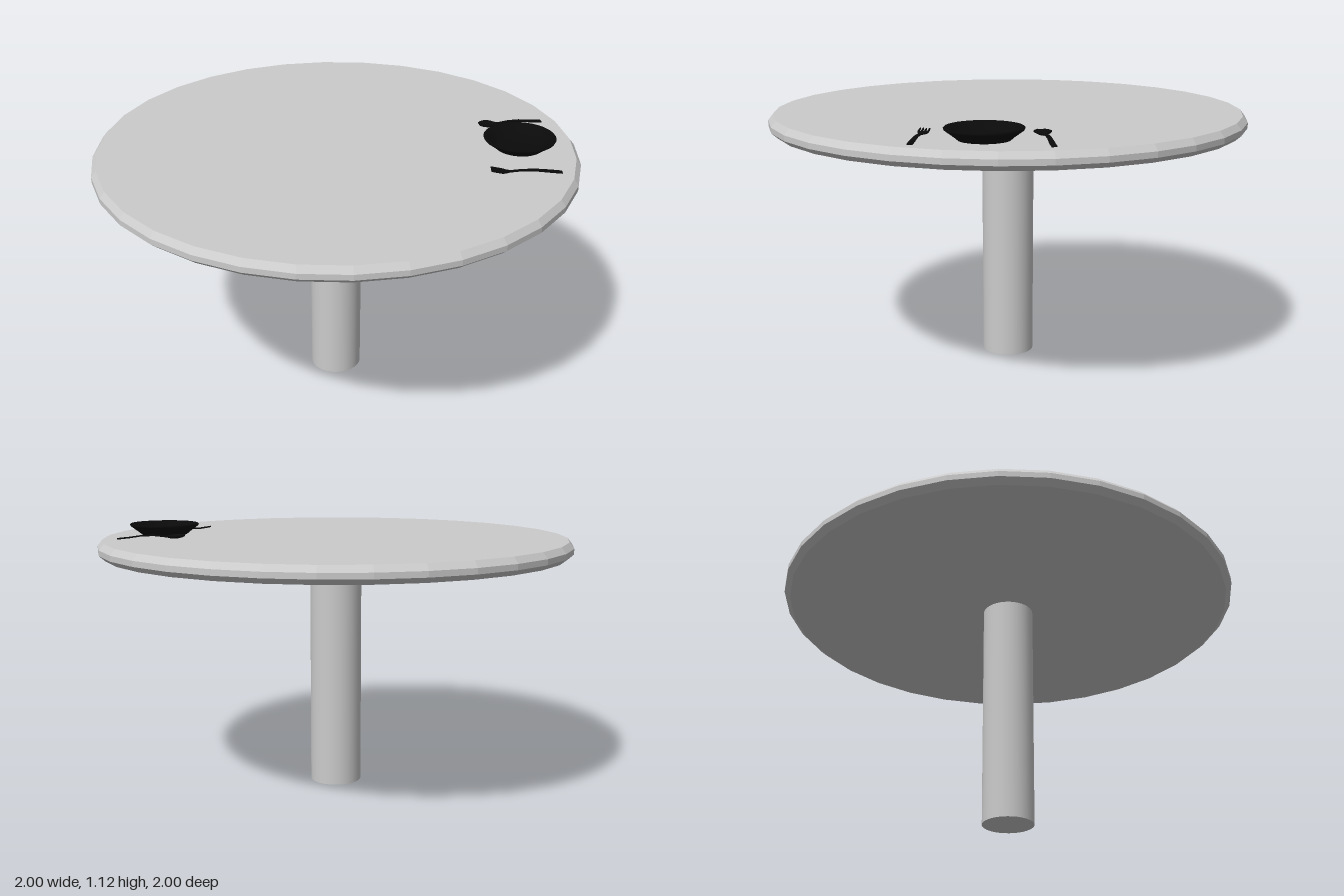
import * as THREE from 'three';

const grey = new THREE.MeshStandardMaterial({ color: 0xcccccc, flatShading: true });
const greySmooth = new THREE.MeshStandardMaterial({ color: 0xcccccc });
const black = new THREE.MeshStandardMaterial({ color: 0x0a0a0a, side: THREE.DoubleSide });

const TOP = 1.075; // height of the table surface

function part(name, geometry, material) {
  const mesh = new THREE.Mesh(geometry, material);
  mesh.name = name;
  return mesh;
}

function lathe(points, sides) {
  return new THREE.LatheGeometry(points.map(([r, y]) => new THREE.Vector2(r, y)), sides);
}

// Thin bar along +z through stations [z, halfWidth, y, dish]; dish raises the edges.
function bar(stations, x = 0, thickness = 0.005) {
  const n = stations.length - 1;
  const g = new THREE.BoxGeometry(2, 1, n, 4, 1, n);
  const p = g.attributes.position;
  for (let i = 0; i < p.count; i++) {
    const u = p.getX(i);
    const [z, half, y, dish = 0] = stations[Math.round(p.getZ(i) + n / 2)];
    p.setXYZ(i, x + u * half, y + dish * u * u + (p.getY(i) + 0.5) * thickness, z);
  }
  g.computeVertexNormals();
  return g;
}

// Lays a piece of cutlery on the table, from its head towards its handle end.
function lay(group, head, end) {
  group.position.set(head[0], TOP, head[1]);
  group.rotation.y = Math.atan2(end[0] - head[0], end[1] - head[1]);
  return group;
}

function createFork() {
  const fork = new THREE.Group();
  fork.name = 'fork';
  fork.add(part('forkHandle', bar([
    [0.034, 0.021, 0.003], [0.048, 0.020, 0.001], [0.062, 0.012, 0], [0.078, 0.006, 0.001],
    [0.12, 0.006, 0.006], [0.17, 0.008, 0.008], [0.23, 0.010, 0.004], [0.28, 0.010, 0],
  ]), black));
  for (let i = 0; i < 4; i++) {
    const x = (i - 1.5) * 0.012;
    fork.add(part('forkTine', bar([[0, 0.002, 0.009], [0.018, 0.003, 0.006], [0.036, 0.003, 0.003]], x), black));
  }
  return lay(fork, [0.215, 0.625], [0.39, 0.835]);
}

function createSpoon() {
  const spoon = new THREE.Group();
  spoon.name = 'spoon';
  spoon.add(part('spoonBody', bar([
    [0, 0.014, 0.012, 0.001], [0.012, 0.027, 0.006, 0.006], [0.034, 0.034, 0.001, 0.011],
    [0.056, 0.027, 0.001, 0.010], [0.072, 0.013, 0.005, 0.004], [0.085, 0.007, 0.008],
    [0.13, 0.007, 0.013], [0.18, 0.008, 0.012], [0.23, 0.010, 0.005], [0.28, 0.010, 0],
  ]), black));
  return lay(spoon, [0.542, 0.338], [0.763, 0.495]);
}

export function createModel() {
  const model = new THREE.Group();
  model.name = 'diningTable';

  // Round top with bevelled edges
  model.add(part('tableTop', lathe([
    [0, 1.005], [0.975, 1.005], [1, 1.027], [1, 1.05], [0.98, TOP], [0, TOP],
  ], 32), grey));

  // Single central column
  const column = part('column', new THREE.CylinderGeometry(0.11, 0.11, 1.01, 32), greySmooth);
  column.position.y = 0.505;
  model.add(column);

  // Plate with a flat well and flared rim
  const plate = part('plate', lathe([
    [0, 0], [0.098, 0], [0.112, 0.012], [0.146, 0.037], [0.149, 0.043], [0.145, 0.047],
    [0.135, 0.043], [0.105, 0.019], [0.09, 0.009], [0, 0.008],
  ], 32), black);
  plate.position.set(0.49, TOP, 0.575);
  model.add(plate, createFork(), createSpoon());

  return model;
}
